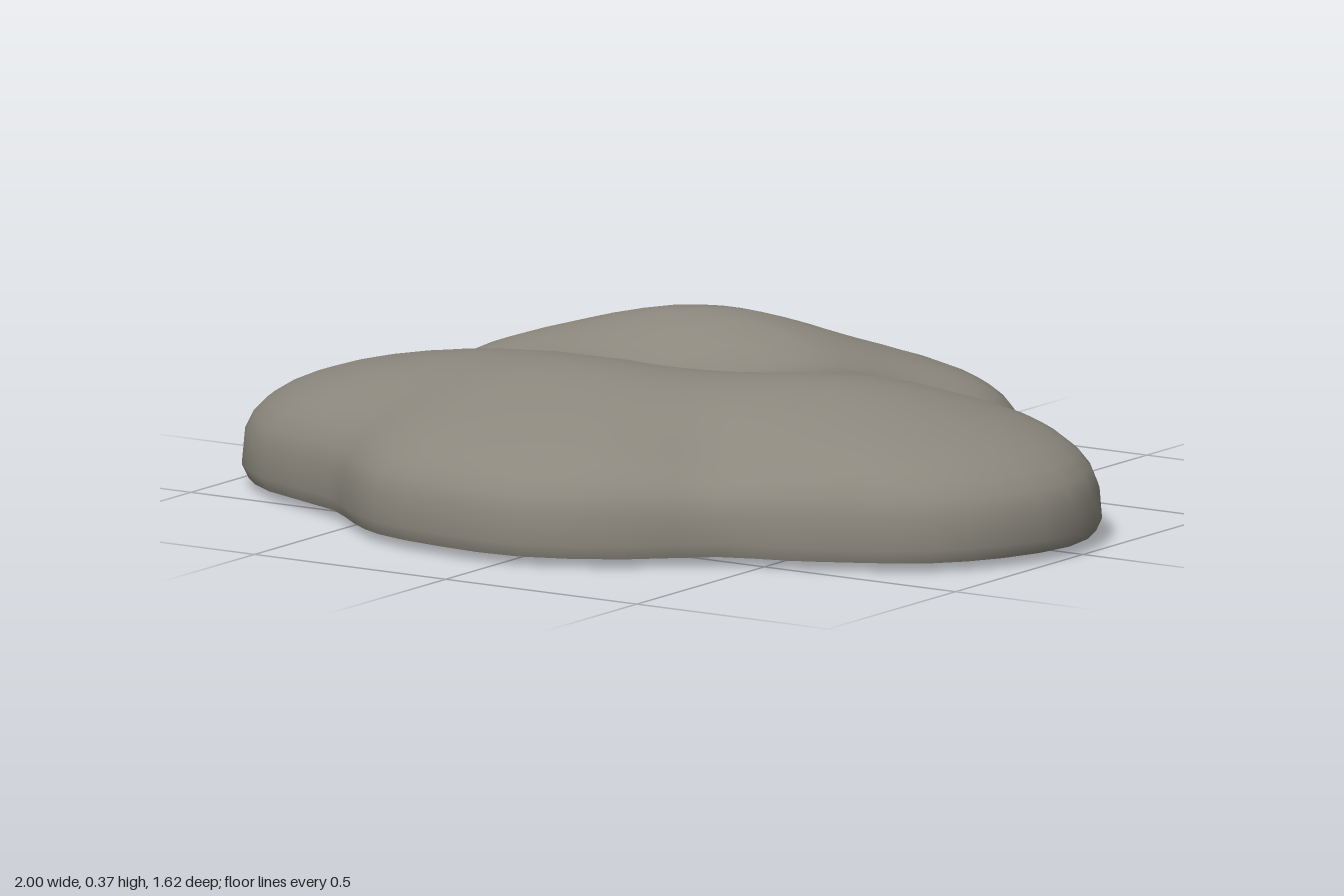
import * as THREE from 'three';
import { mergeVertices } from 'three/addons/utils/BufferGeometryUtils.js';

// Plan outline of the boulder as x, z pairs, counter-clockwise from above
const OUTLINE = [
  [1, 0.03], [0.95, -0.15], [0.85, -0.26], [0.72, -0.36], [0.56, -0.44], [0.46, -0.59],
  [0.34, -0.7], [0.14, -0.79], [0, -0.81], [-0.13, -0.79], [-0.28, -0.72], [-0.41, -0.63],
  [-0.64, -0.54], [-0.75, -0.45], [-0.82, -0.37], [-0.86, -0.23], [-0.84, -0.06],
  [-0.92, 0.04], [-0.99, 0.13], [-1, 0.27], [-0.94, 0.39], [-0.82, 0.49], [-0.58, 0.59],
  [-0.46, 0.69], [-0.35, 0.76], [-0.16, 0.8], [0.05, 0.8], [0.26, 0.7], [0.42, 0.56],
  [0.57, 0.51], [0.7, 0.45], [0.85, 0.36], [0.95, 0.22],
];

// Humps and hollows of the top: x, z, width, depth, height
const BUMPS = [
  [-0.2, 0.32, 0.5, 0.24, 0.06],    // front ridge
  [-0.2, -0.32, 0.35, 0.2, 0.08],   // back hump
  [0.45, 0.06, 0.3, 0.22, 0.04],    // left hump
  [-0.1, -0.06, 0.3, 0.12, -0.055], // central hollow
  [-0.65, -0.08, 0.25, 0.1, -0.05], // right valley
  [0.4, -0.33, 0.2, 0.14, -0.05],   // back left valley
  [0.36, 0.48, 0.14, 0.14, -0.04],  // front left valley
];

const bell = (x, z, [cx, cz, w, d, h]) =>
  h * Math.exp(-(((x - cx) / w) ** 2) - ((z - cz) / d) ** 2);
const topHeight = (x, z) => BUMPS.reduce((sum, b) => sum + bell(x, z, b), 0.305);
const baseHeight = (x, z) => 0.022 - bell(x, z, [-0.1, -0.7, 0.4, 0.35, 0.022]);

// Skin a list of closed rings of equal length
function skin(rings) {
  const n = rings[0].length;
  const index = [];
  for (let i = 0; i < rings.length - 1; i++) {
    for (let j = 0; j < n; j++) {
      const k = (j + 1) % n;
      const a = i * n + j, b = a + n, c = (i + 1) * n + k, d = i * n + k;
      index.push(a, b, c, a, c, d);
    }
  }
  const geometry = new THREE.BufferGeometry();
  geometry.setAttribute('position', new THREE.Float32BufferAttribute(rings.flat(2), 3));
  geometry.setIndex(index);
  const merged = mergeVertices(geometry, 1e-5);
  merged.computeVertexNormals();
  return merged;
}

export function createModel() {
  const group = new THREE.Group();
  group.name = 'boulder';
  const stone = new THREE.MeshStandardMaterial({ color: 0x8b877d });
  stone.name = 'stone grey';

  const curve = new THREE.CatmullRomCurve3(
    OUTLINE.map(([x, z]) => new THREE.Vector3(x, 0, z)), true);
  const outline = curve.getPoints(66).slice(0, 66);
  const ring = (t, height) => outline.map((p) => [p.x * t, height(p.x * t, p.z * t), p.z * t]);

  // Rounded top, falling to a low rim and tucking in to the base
  const steps = 14;
  const topRings = [];
  for (let i = 0; i <= steps; i++) {
    const t = Math.sin((i / steps) * Math.PI / 2);
    const dome = Math.cbrt(Math.max(0, 1 - t ** 3));
    topRings.push(ring(t, (x, z) => {
      const rim = baseHeight(x, z) + 0.03;
      return rim + (topHeight(x, z) - rim) * dome;
    }));
  }
  topRings.push(ring(0.985, baseHeight));
  const top = new THREE.Mesh(skin(topRings), stone);
  top.name = 'boulderTop';

  // Nearly flat underside
  const under = new THREE.Mesh(skin([0.985, 0.75, 0.5, 0.25, 0].map((t) => ring(t, baseHeight))), stone);
  under.name = 'underside';

  group.add(top, under);
  return group;
}
